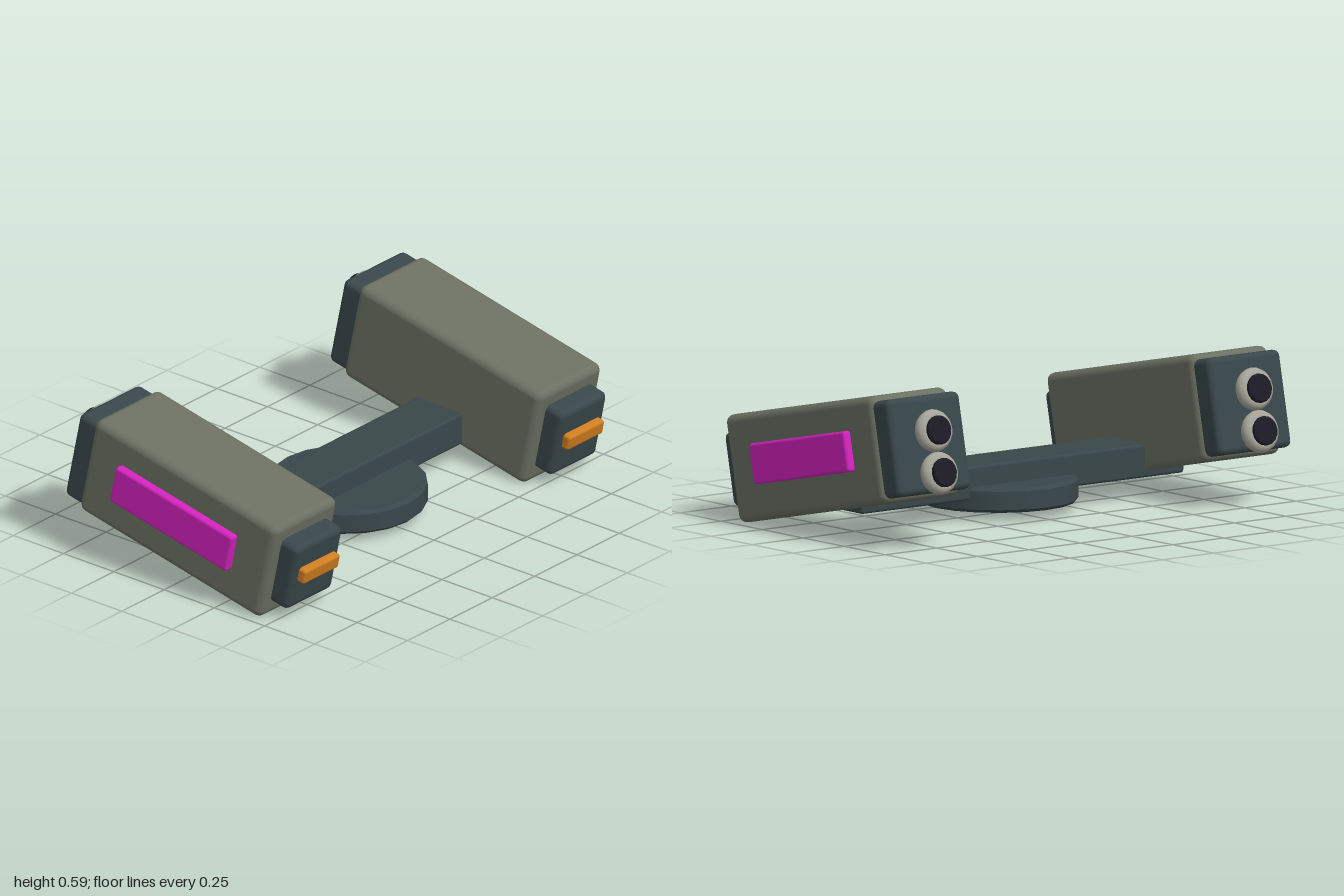
import * as THREE from 'three';
import { toCreasedNormals } from 'three/addons/utils/BufferGeometryUtils.js';
import { RoundedBoxGeometry } from 'three/addons/geometries/RoundedBoxGeometry.js';

const paint = (name, color) => {
  const m = new THREE.MeshStandardMaterial({ color });
  m.name = name;
  return m;
};

export function createModel() {
  const olive = paint('olive grey', 0x6b7062);
  const slate = paint('dark slate', 0x39474a);
  const orange = paint('orange', 0xd07e20);
  const magenta = paint('magenta', 0xd222bd);
  const silver = paint('pale grey', 0xa6a59a);
  const black = paint('blue black', 0x1d1c27);

  const model = new THREE.Group();
  model.name = 'twinPodMount';

  const add = (parent, name, geometry, material, x, y, z) => {
    const mesh = new THREE.Mesh(geometry, material);
    mesh.name = name;
    mesh.position.set(x, y, z);
    parent.add(mesh);
    return mesh;
  };
  const box = (w, h, d, r, seg = 2) => new RoundedBoxGeometry(w, h, d, seg, r);
  // Short drum along y with chamfered rims
  const drum = (r, h, bevel, sides) => toCreasedNormals(new THREE.LatheGeometry([
    [0, -h / 2], [r - bevel, -h / 2], [r, -h / 2 + bevel],
    [r, h / 2 - bevel], [r - bevel, h / 2], [0, h / 2],
  ].map(([x, y]) => new THREE.Vector2(x, y)), sides), 0.6);

  // Central base and cross beam
  add(model, 'baseDisc', drum(0.308, 0.095, 0.012, 20), slate, 0, 0.083, 0.067);
  add(model, 'crossBeam', box(1.57, 0.13, 0.23, 0.012), slate, 0, 0.146, 0.026);

  // Tilted pods, mirrored left and right
  for (const side of [1, -1]) {
    const pod = new THREE.Group();
    pod.name = side > 0 ? 'leftPod' : 'rightPod';
    pod.position.set(side * 0.78, 0.295, 0.035);
    pod.rotation.x = THREE.MathUtils.degToRad(12);
    model.add(pod);

    add(pod, 'podBody', box(0.376, 0.415, 0.925, 0.032, 3), olive, 0, 0, 0);
    add(pod, 'frontCap', box(0.275, 0.285, 0.14, 0.025), slate, 0, 0, 0.474);
    add(pod, 'frontSlot', box(0.21, 0.062, 0.05, 0.012), orange, 0, 0.014, 0.551);
    add(pod, 'rearCap', box(0.355, 0.375, 0.14, 0.025), slate, 0, -0.002, -0.476);
    add(pod, 'sidePanel', box(0.05, 0.157, 0.595, 0.012), magenta, side * 0.195, 0.01, -0.006);

    // Pair of rear nozzles
    for (const y of [0.046, -0.117]) {
      add(pod, 'nozzleRing', new THREE.TorusGeometry(0.055, 0.028, 10, 20), silver, 0, y, -0.577);
      const core = add(pod, 'nozzleCore', drum(0.056, 0.08, 0.006, 16), black, 0, y, -0.581);
      core.rotation.x = Math.PI / 2;
    }
  }
  return model;
}
